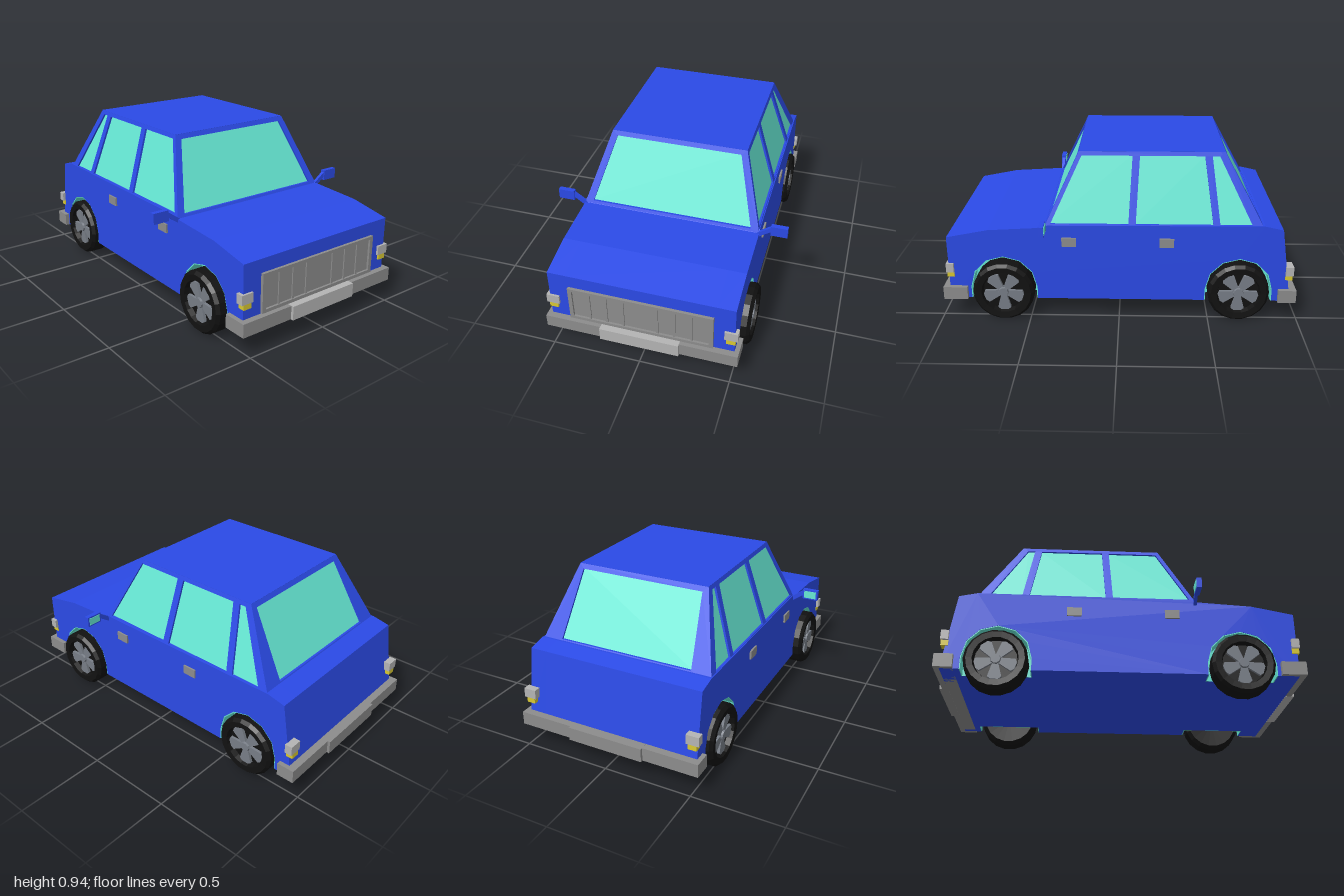
import * as THREE from 'three';

const mat = (color, side = THREE.FrontSide) =>
  new THREE.MeshStandardMaterial({ color, side, flatShading: true });
const BLUE = mat(0x2b4ae6), FRAME = mat(0x2b4ae6, THREE.DoubleSide);
const GLASS = mat(0x66e8d4, THREE.DoubleSide), BLACK = mat(0x111111);
const GREY = mat(0x8c8c8c), LIGHT = mat(0xb4b4b4), YELLOW = mat(0xd8c832), RIM = mat(0x777d86);

const vecs = (pts) => pts.map(([a, b]) => new THREE.Vector2(a, b));

function add(parent, name, geometry, material) {
  const m = new THREE.Mesh(geometry, material);
  m.name = name;
  parent.add(m);
  return m;
}

// Box given by its limits on each axis
function box(parent, name, [x0, x1], [y0, y1], [z0, z1], material) {
  const g = new THREE.BoxGeometry(x1 - x0, y1 - y0, z1 - z0);
  g.translate((x0 + x1) / 2, (y0 + y1) / 2, (z0 + z1) / 2);
  return add(parent, name, g, material);
}

// Side profile of (z, y) points, extruded across x
function profile(parent, name, pts, x0, x1, material) {
  const g = new THREE.ExtrudeGeometry(new THREE.Shape(vecs(pts)), { depth: x1 - x0, bevelEnabled: false });
  g.rotateY(-Math.PI / 2).translate(x1, 0, 0);
  return add(parent, name, g, material);
}

// Flat panel with holes, laid onto a sloping cabin face by a mapping rule
function panel(parent, name, outline, holes, depth, inset, map, material) {
  const shape = new THREE.Shape(vecs(outline));
  holes.forEach((h) => shape.holes.push(new THREE.Path(vecs(h))));
  const g = new THREE.ExtrudeGeometry(shape, { depth, bevelEnabled: false });
  const p = g.attributes.position;
  for (let i = 0; i < p.count; i++) {
    const a = p.getX(i), b = p.getY(i);
    p.setXYZ(i, ...map(a, b, p.getZ(i) + inset, (b - 0.55) / 0.4));
  }
  g.computeVertexNormals();
  return add(parent, name, g, material);
}

// Angular wheel arch, listed from rear to front
function arch(zc, r) {
  const pts = [[zc - r, 0.12]];
  for (let i = 0; i <= 6; i++) {
    const a = Math.PI * (1 - i / 6);
    pts.push([zc + r * Math.cos(a), 0.19 + r * Math.sin(a)]);
  }
  pts.push([zc + r, 0.12]);
  return pts;
}

function makeWheel(name) {
  const wheel = new THREE.Group();
  wheel.name = name;
  const tyre = new THREE.LatheGeometry(vecs([[0, -0.055], [0.15, -0.063], [0.171, -0.045], [0.171, 0.045],
    [0.155, 0.063], [0.122, 0.06], [0.114, 0.03], [0, 0.03]]), 18);
  add(wheel, 'tyre', tyre.rotateZ(-Math.PI / 2), BLACK);
  const spoke = new THREE.Shape(vecs([[-0.014, 0.015], [0.014, 0.015], [0.037, 0.098], [0.02, 0.112], [-0.02, 0.112], [-0.037, 0.098]]));
  for (let i = 0; i < 5; i++) {
    const g = new THREE.ExtrudeGeometry(spoke, { depth: 0.018, bevelEnabled: false });
    g.rotateZ(Math.PI + (i * 2 * Math.PI) / 5).rotateY(Math.PI / 2).translate(0.028, 0, 0);
    add(wheel, 'spoke', g, RIM);
  }
  add(wheel, 'hub', new THREE.CylinderGeometry(0.026, 0.034, 0.03, 10).rotateZ(-Math.PI / 2).translate(0.042, 0, 0), RIM);
  return wheel;
}

export function createModel() {
  const car = new THREE.Group();
  car.name = 'car';
  const sides = [1, -1];
  const AXLES = [[0.645, 0.495], [-0.665, 0.475]]; // z, wheel centre x

  // Lower body: full core with notched flanks either side
  const body = new THREE.Group();
  body.name = 'body';
  car.add(body);
  const top = [[0.95, 0.12], [0.95, 0.49], [0.72, 0.535], [0.41, 0.553], [0.39, 0.565],
    [-0.79, 0.572], [-0.89, 0.55], [-0.955, 0.12]];
  const W = 0.51, WELL = 0.41;
  profile(body, 'bodyCore', top, -WELL, WELL, BLUE);
  const notched = [...top, ...arch(AXLES[1][0], 0.187), ...arch(AXLES[0][0], 0.187)];
  for (const s of sides) {
    const [a, b] = s > 0 ? [WELL, W] : [-W, -WELL];
    profile(body, 'flank', notched, a, b, BLUE);
    for (const [z] of AXLES) {
      // Wheel well: inner wall and a thin lining
      const inner = s * (WELL + 0.005);
      profile(body, 'wellWall', arch(z, 0.186), Math.min(inner, s * WELL), Math.max(inner, s * WELL), GLASS);
      profile(body, 'wellLining', [...arch(z, 0.187), ...arch(z, 0.182).reverse()],
        s > 0 ? a : a + 0.002, s > 0 ? b - 0.002 : b, GLASS);
    }
  }

  // Cabin: four sloping window frames with inset glass, and the roof
  const cabin = new THREE.Group();
  cabin.name = 'cabin';
  car.add(cabin);
  const face = (name, outline, holes, map) => {
    panel(cabin, name + 'Frame', outline, holes, 0.025, 0, map, FRAME);
    holes.forEach((h) => panel(cabin, name + 'Glass', h, [], 0.006, 0.012, map, GLASS));
  };
  const endOutline = [[-W, 0.55], [W, 0.55], [0.385, 0.95], [-0.385, 0.95]];
  face('windscreen', endOutline, [[[-0.46, 0.568], [0.46, 0.568], [0.355, 0.925], [-0.355, 0.925]]],
    (a, b, c, t) => [a, b, 0.41 - 0.19 * t - c]);
  face('rearWindow', endOutline, [[[-0.39, 0.578], [0.39, 0.578], [0.357, 0.925], [-0.357, 0.925]]],
    (a, b, c, t) => [a, b, -0.79 + 0.22 * t + c]);
  const sideOutline = [[0.41, 0.55], [0.22, 0.95], [-0.57, 0.95], [-0.79, 0.55]];
  const sideHoles = [
    [[0.378, 0.572], [0.205, 0.928], [-0.07, 0.928], [-0.05, 0.572]],
    [[-0.09, 0.572], [-0.11, 0.928], [-0.46, 0.928], [-0.51, 0.572]],
    [[-0.548, 0.572], [-0.5, 0.928], [-0.54, 0.928], [-0.722, 0.572]],
  ];
  for (const s of sides)
    face('side', sideOutline, sideHoles, (a, b, c, t) => [s * (W - 0.125 * t - c), b, a]);
  box(cabin, 'roof', [-0.385, 0.385], [0.932, 0.951], [-0.57, 0.22], BLUE);

  // Bumpers with a raised middle section
  for (const s of sides) {
    const span = (a, b) => (s > 0 ? [a, b] : [-b, -a]);
    const end = s > 0 ? 'front' : 'rear';
    box(car, end + 'Bumper', [-0.535, 0.535], [0.12, 0.195], span(s > 0 ? 0.85 : 0.885, 0.985), GREY);
    box(car, end + 'BumperCentre', [-0.22, 0.22], [0.119, 0.196], span(0.95, 1), s > 0 ? LIGHT : GREY);
    // Lamps at each corner
    for (const k of sides) {
      const across = (a, b) => (k > 0 ? [a, b] : [-b, -a]);
      box(car, end + 'Lamp', across(0.455, 0.527), [0.282, 0.335], span(0.92, 0.962), LIGHT);
      box(car, end + 'Indicator', across(0.465, 0.514), [0.252, 0.282], span(0.92, 0.96), YELLOW);
    }
  }

  // Grille: backing, surround and upright bars
  const grille = new THREE.Group();
  grille.name = 'grille';
  car.add(grille);
  box(grille, 'grilleBack', [-0.39, 0.39], [0.205, 0.41], [0.94, 0.954], GREY);
  for (const y of [0.2, 0.397]) box(grille, 'grilleRail', [-0.398, 0.398], [y, y + 0.018], [0.94, 0.966], GREY);
  for (const x of [-0.387, 0.387]) box(grille, 'grilleEnd', [x - 0.011, x + 0.011], [0.2, 0.415], [0.94, 0.966], GREY);
  for (const s of sides)
    for (let i = 1; i <= 3; i++) {
      const x = s * i * 0.094;
      box(grille, 'grilleBar', [x - 0.006, x + 0.006], [0.21, 0.405], [0.94, 0.961], GREY);
    }

  for (const s of sides) {
    const across = (a, b) => (s > 0 ? [a, b] : [-b, -a]);
    // Door handles
    for (const z of [0.275, -0.26]) box(car, 'doorHandle', across(0.5, 0.52), [0.445, 0.495], [z - 0.04, z + 0.04], GREY);
    // Door mirror on an angled arm
    box(car, 'mirrorHousing', across(0.572, 0.665), [0.56, 0.62], [0.392, 0.42], BLUE);
    box(car, 'mirrorGlass', across(0.582, 0.655), [0.568, 0.612], [0.389, 0.395], GLASS);
    const arm = add(car, 'mirrorArm', new THREE.BoxGeometry(0.1, 0.024, 0.018), BLUE);
    arm.position.set(s * 0.54, 0.57, 0.405);
    arm.rotation.z = s * 0.62;
    // Wheels
    AXLES.forEach(([z, x], i) => {
      const wheel = makeWheel(i ? 'rearWheel' : 'frontWheel');
      wheel.position.set(s * x, 0.175, z);
      if (s < 0) wheel.rotation.y = Math.PI;
      car.add(wheel);
    });
  }
  return car;
}
